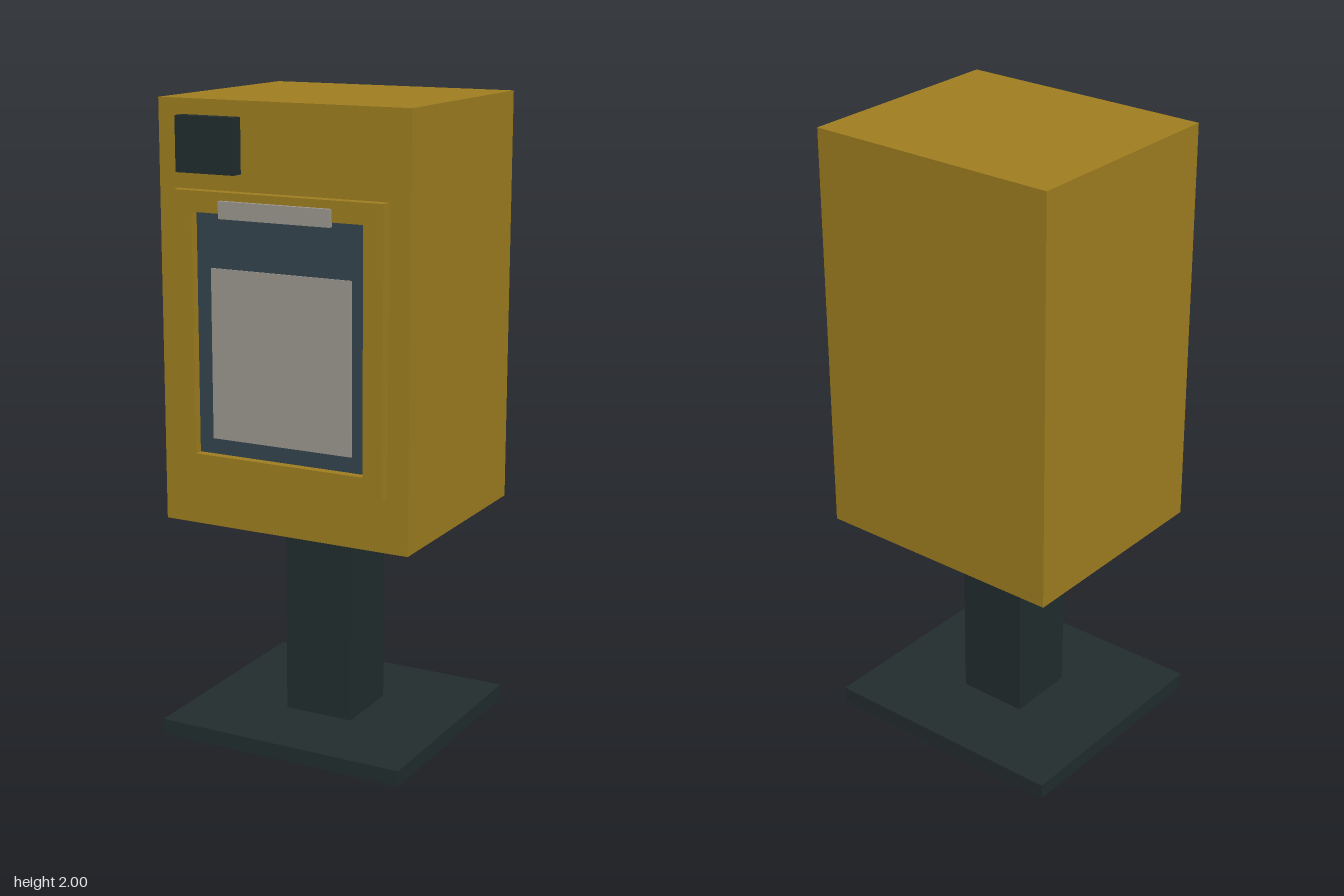
import * as THREE from 'three';

const paint = (name, color, side = THREE.FrontSide) => {
  const m = new THREE.MeshStandardMaterial({ color, side });
  m.name = name;
  return m;
};

export function createModel() {
  const group = new THREE.Group();
  const yellow = paint('yellow paint', 0xa07f20);
  const dark = paint('dark metal', 0x222d2e, THREE.DoubleSide);
  const glass = paint('window glass', 0x34454e);
  const grey = paint('light grey', 0x9d9890);

  const add = (name, geometry, material) => {
    const mesh = new THREE.Mesh(geometry, material);
    mesh.name = name;
    group.add(mesh);
    return mesh;
  };
  // Box given by its limits on each axis
  const box = (name, material, [x0, x1], [y0, y1], [z0, z1]) => {
    const g = new THREE.BoxGeometry(x1 - x0, y1 - y0, z1 - z0);
    g.translate((x0 + x1) / 2, (y0 + y1) / 2, (z0 + z1) / 2);
    return add(name, g, material);
  };
  const rect = (Type, x, y0, y1) => new Type([
    new THREE.Vector2(-x, y0), new THREE.Vector2(x, y0),
    new THREE.Vector2(x, y1), new THREE.Vector2(-x, y1),
  ]);

  // Base plate: a shallow shell, open underneath
  const base = box('basePlate', dark, [-0.415, 0.415], [0, 0.05], [-0.383, 0.383]).geometry;
  const faces = Array.from(base.index.array);
  faces.splice(18, 6); // drop the bottom face
  base.setIndex(faces);
  base.clearGroups();

  // Post and cabinet
  box('post', dark, [-0.115, 0.115], [0.05, 0.705], [-0.115, 0.115]);
  box('cabinet', yellow, [-0.415, 0.415], [0.705, 2], [-0.383, 0.332]);

  // Door frame with window opening
  const frame = rect(THREE.Shape, 0.348, 0.872, 1.736);
  frame.holes.push(rect(THREE.Path, 0.284, 0.937, 1.673));
  const frameGeo = new THREE.ExtrudeGeometry(frame, { depth: 0.036, bevelEnabled: false });
  frameGeo.translate(0, 0, 0.332);
  add('doorFrame', frameGeo, yellow);

  // Recessed window with the paper on display
  box('window', glass, [-0.284, 0.284], [0.937, 1.673], [0.332, 0.34]);
  box('displayedPaper', grey, [-0.235, 0.235], [0.985, 1.506], [0.34, 0.344]);

  // Pull handle and coin box
  box('doorHandle', grey, [-0.184, 0.184], [1.66, 1.712], [0.366, 0.383]);
  box('coinBox', dark, [-0.334, -0.135], [1.787, 1.953], [0.332, 0.372]);

  return group;
}
